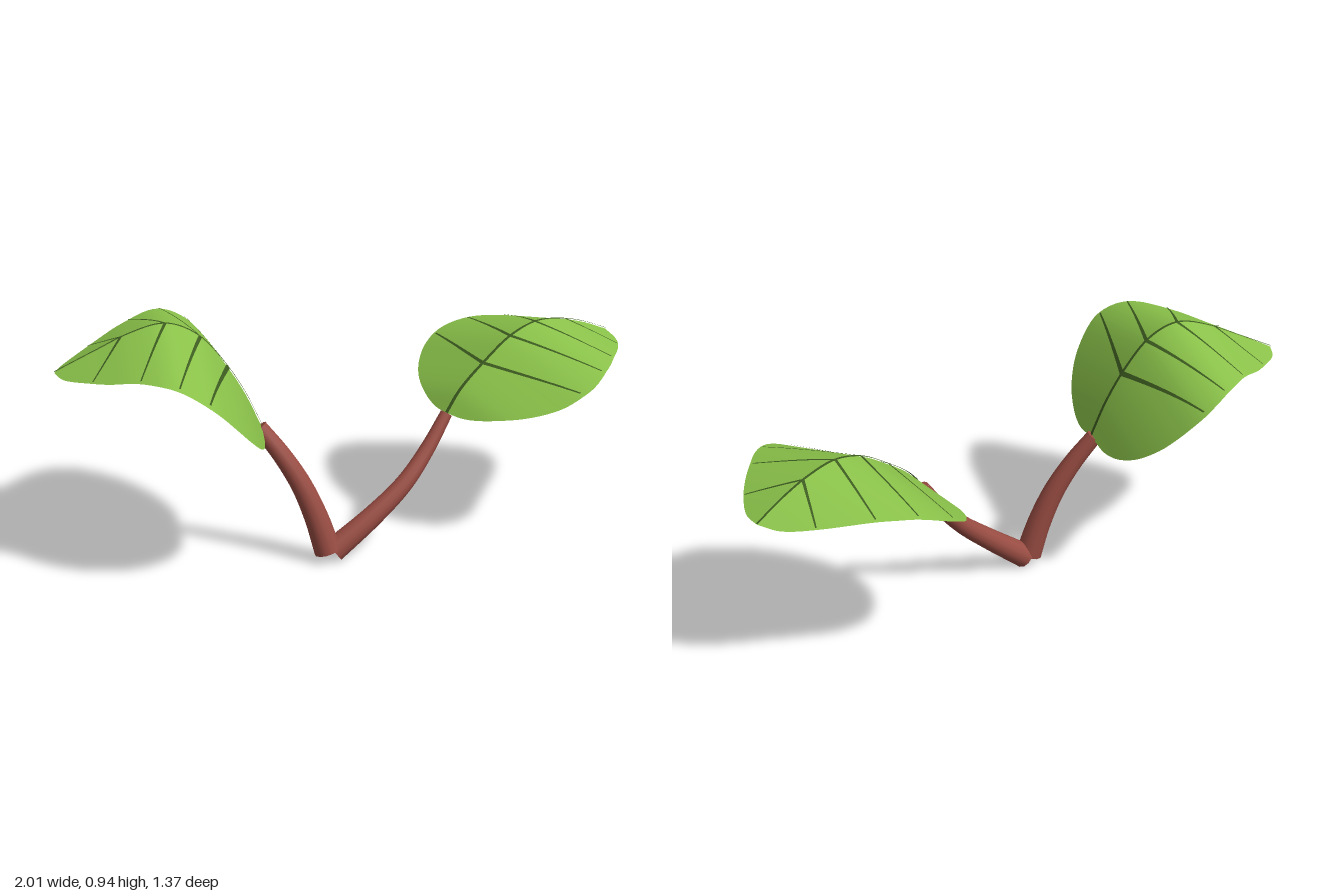
import * as THREE from 'three';

const leafGreen = new THREE.MeshStandardMaterial({ color: 0x8bc34a, side: THREE.DoubleSide });
leafGreen.name = 'leaf green';
const veinGreen = new THREE.MeshStandardMaterial({ color: 0x3d5c20, side: THREE.DoubleSide });
veinGreen.name = 'vein dark green';
const stemRed = new THREE.MeshStandardMaterial({ color: 0x9a4d43 });
stemRed.name = 'stem red brown';

// Smooth curve through [x, y] pairs, sampled into n + 1 points
function sample(pairs, n) {
  const curve = new THREE.CatmullRomCurve3(pairs.map(([x, y]) => new THREE.Vector3(x, y, 0)));
  return curve.getPoints(n);
}

// Turns sampled points into a function y(x)
function lookup(points) {
  return (x) => {
    let i = 1;
    while (i < points.length - 1 && points[i].x < x) i++;
    const a = points[i - 1], b = points[i];
    const k = THREE.MathUtils.clamp((x - a.x) / Math.max(b.x - a.x, 1e-6), 0, 1);
    return a.y + (b.y - a.y) * k;
  };
}

// Sheet from a rule giving a point for each row and column
function sheet(rows, cols, point) {
  const pos = [], index = [];
  for (let i = 0; i <= rows; i++) {
    for (let j = 0; j <= cols; j++) {
      pos.push(...point(i, j).toArray());
      if (i < rows && j < cols) {
        const p = i * (cols + 1) + j, q = p + cols + 1;
        index.push(p, p + 1, q, p + 1, q + 1, q);
      }
    }
  }
  const geo = new THREE.BufferGeometry();
  geo.setAttribute('position', new THREE.Float32BufferAttribute(pos, 3));
  geo.setIndex(index);
  geo.computeVertexNormals();
  return geo;
}

function add(group, name, geometry, material) {
  const mesh = new THREE.Mesh(geometry, material);
  mesh.name = name;
  group.add(mesh);
  return mesh;
}

// Leaf folded along an arched midrib; outline = [along, half width], arch = [along, height]
function makeLeaf({ name, base, tip, outline, arch, fold, nodes }) {
  const group = new THREE.Group();
  group.name = name;
  const a = new THREE.Vector2(tip[0] - base[0], tip[1] - base[1]);
  const length = a.length();
  a.normalize();
  const edge = sample(outline, 60);
  const width = lookup(edge);
  const height = lookup(sample(arch, 100));
  const y = (s, t) => height(s) - fold * Math.abs(t);
  const at = (s, t, lift = 0) => {
    const p = new THREE.Vector3(base[0] + a.x * s - a.y * t, y(s, t), base[1] + a.y * s + a.x * t);
    if (lift) {
      const slope = (height(s + 0.01) - height(s - 0.01)) / 0.02;
      const n = new THREE.Vector3(-slope * a.x, 1, -slope * a.y).normalize();
      p.addScaledVector(n, lift);
    }
    return p;
  };

  // Two halves of the blade
  for (const side of [-1, 1]) {
    const geo = sheet(60, 10, (i, j) => {
      const k = side < 0 ? j / 10 - 1 : j / 10;
      return at(edge[i].x, edge[i].y * k);
    });
    add(group, side < 0 ? 'bladeHalfA' : 'bladeHalfB', geo, leafGreen);
  }

  // Midrib
  add(group, 'midrib', sheet(60, 2, (i, j) =>
    at(length * i / 60, (j - 1) * (0.008 - 0.004 * i / 60), 0.005)), veinGreen);

  // Paired side veins sweeping towards the tip
  for (const s0 of nodes) {
    const s1 = s0 + 0.11;
    for (const side of [-1, 1]) {
      const t1 = side * width(s1) * 0.96;
      const d = new THREE.Vector2(s1 - s0, t1).normalize();
      add(group, 'sideVein', sheet(24, 1, (i, j) => {
        const k = i / 24, w = (j - 0.5) * (0.011 - 0.006 * k);
        return at(s0 + (s1 - s0) * k - d.y * w, t1 * k + d.x * w, 0.004);
      }), veinGreen);
    }
  }
  return group;
}

// Tapered curved stem with closed ends
function makeStem(name, points, r0, r1) {
  const group = new THREE.Group();
  group.name = name;
  const curve = new THREE.CatmullRomCurve3(points.map((p) => new THREE.Vector3(...p)));
  const n = 24, sides = 12;
  const geo = new THREE.TubeGeometry(curve, n, 1, sides);
  const pos = geo.attributes.position, v = new THREE.Vector3();
  for (let i = 0; i < pos.count; i++) {
    const u = Math.floor(i / (sides + 1)) / n;
    const c = curve.getPointAt(u);
    v.fromBufferAttribute(pos, i).sub(c).multiplyScalar(r0 + (r1 - r0) * u).add(c);
    pos.setXYZ(i, v.x, v.y, v.z);
  }
  add(group, 'stemTube', geo, stemRed);
  for (const [u, r, dir] of [[0, r0, -1], [1, r1, 1]]) {
    const cap = add(group, 'stemEnd', new THREE.CircleGeometry(r, sides), stemRed);
    cap.position.copy(curve.getPointAt(u));
    cap.lookAt(curve.getTangentAt(u).multiplyScalar(dir).add(cap.position));
  }
  return group;
}

export function createModel() {
  const model = new THREE.Group();
  model.name = 'sprout';

  model.add(makeStem('rightStem',
    [[-0.055, 0.04, 0.152], [-0.095, 0.17, 0.152], [-0.15, 0.30, 0.152], [-0.22, 0.415, 0.152], [-0.3, 0.52, 0.15]],
    0.05, 0.03));
  model.add(makeStem('leftStem',
    [[-0.035, 0.036, 0.14], [0.11, 0.155, 0.08], [0.22, 0.26, 0.02], [0.3, 0.37, -0.045], [0.368, 0.49, -0.105]],
    0.047, 0.023));

  model.add(makeLeaf({
    name: 'rightLeaf', base: [-0.29, 0.15], tip: [-1.0, 0.31], fold: 0.2,
    outline: [[0, 0], [0.004, 0.12], [0.025, 0.24], [0.06, 0.345], [0.12, 0.435], [0.21, 0.488], [0.28, 0.475],
      [0.364, 0.42], [0.453, 0.335], [0.536, 0.265], [0.62, 0.175], [0.7, 0.075], [0.728, 0]],
    arch: [[0, 0.52], [0.06, 0.655], [0.136, 0.78], [0.22, 0.878], [0.3, 0.922], [0.36, 0.928],
      [0.47, 0.895], [0.575, 0.845], [0.728, 0.77]],
    nodes: [0.12, 0.215, 0.335, 0.49],
  }));
  model.add(makeLeaf({
    name: 'leftLeaf', base: [0.37, -0.105], tip: [0.97, -0.61], fold: 0.22,
    outline: [[0, 0], [0.015, 0.09], [0.05, 0.2], [0.1, 0.295], [0.164, 0.37], [0.233, 0.418], [0.326, 0.432],
      [0.45, 0.375], [0.53, 0.315], [0.61, 0.25], [0.687, 0.175], [0.755, 0.085], [0.784, 0]],
    arch: [[0, 0.49], [0.066, 0.57], [0.19, 0.662], [0.3, 0.728], [0.42, 0.76], [0.54, 0.748],
      [0.66, 0.713], [0.784, 0.66]],
    nodes: [0.17, 0.3, 0.42, 0.57],
  }));
  return model;
}
